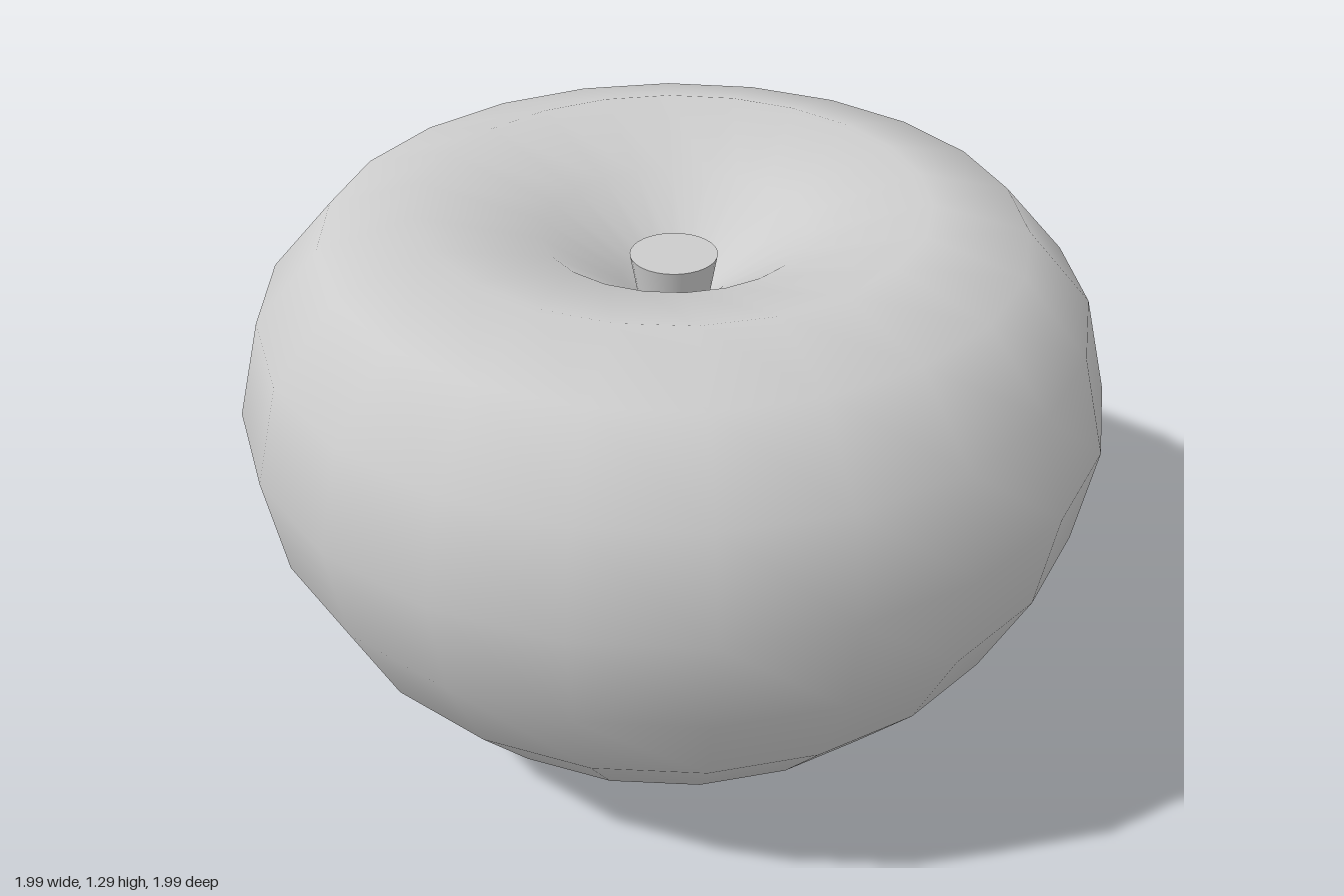
import * as THREE from 'three';

const SIDES = 22;

export function createModel() {
  const group = new THREE.Group();
  const grey = new THREE.MeshStandardMaterial({ color: 0xcccccc });
  grey.name = 'light grey';

  // Fruit body: round profile from the base, over the shoulder and into the dent
  const profile = [
    [0, 0], [0.25, 0.015], [0.49, 0.03], [0.69, 0.17], [0.85, 0.36], [0.96, 0.59],
    [1, 0.83], [0.94, 1.06], [0.79, 1.23], [0.57, 1.29], [0.3, 1.215], [0.12, 1.09], [0, 0.98],
  ].map(([r, y]) => new THREE.Vector2(r, y));
  const bodyGeometry = new THREE.LatheGeometry(profile, SIDES, Math.PI + 0.07);

  // Slightly uneven spacing of the sides around the axis
  const pos = bodyGeometry.attributes.position;
  for (let i = 0; i < pos.count; i++) {
    const x = pos.getX(i), z = pos.getZ(i);
    const r = Math.hypot(x, z);
    const t = Math.atan2(x, -z);
    const a = t - 0.04 * Math.sin(t - 0.87);
    pos.setX(i, r * Math.sin(a));
    pos.setZ(i, -r * Math.cos(a));
  }
  const body = new THREE.Mesh(bodyGeometry, grey);
  body.name = 'fruitBody';
  group.add(body);

  // Short stem stub standing in the dent
  const stem = new THREE.Mesh(new THREE.CylinderGeometry(0.1, 0.07, 0.17, 32), grey);
  stem.name = 'stem';
  stem.position.y = 1.065;
  group.add(stem);

  return group;
}
